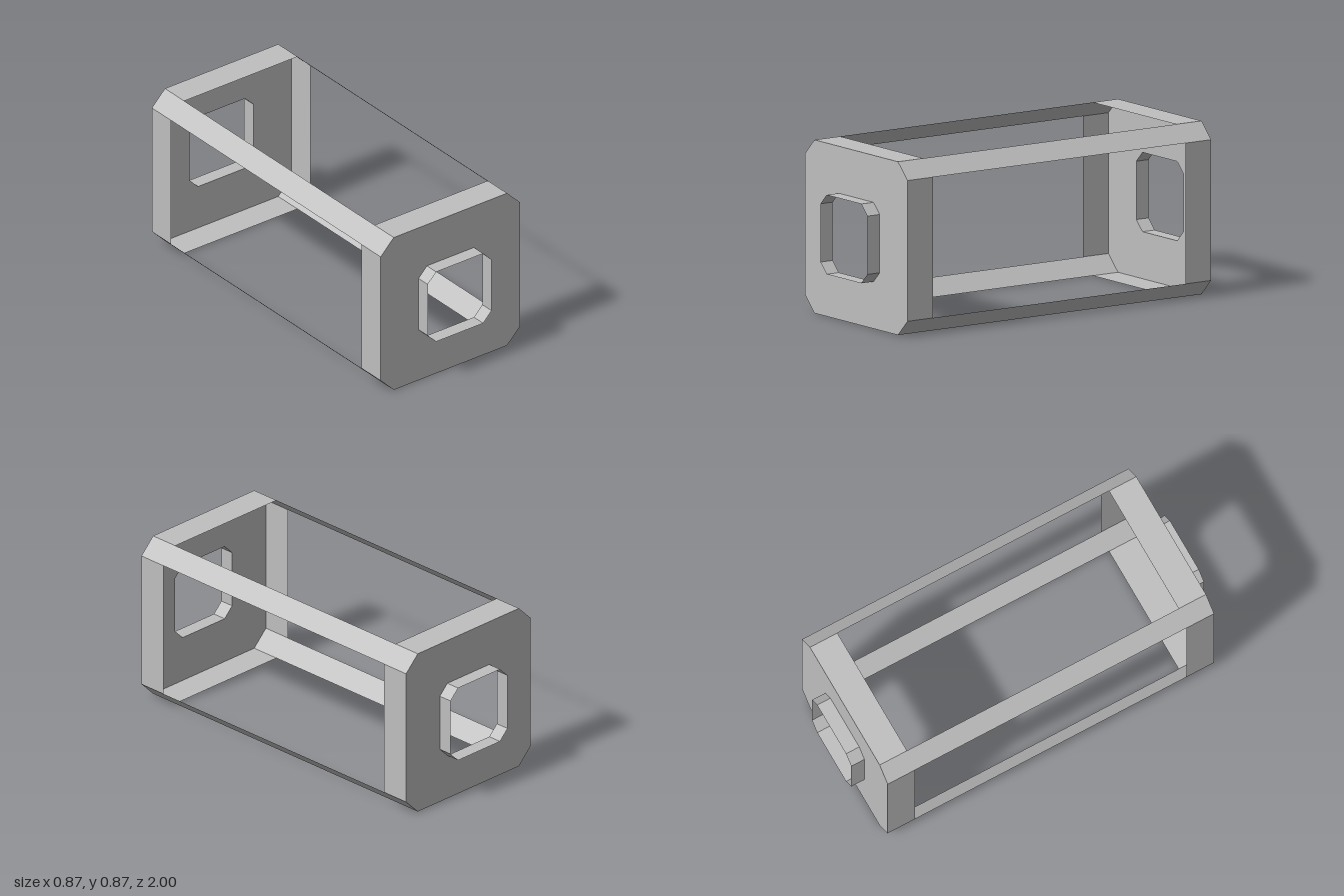
import * as THREE from 'three';

const CENTER_Y = 0.437;   // height of the frame axis
const PLATE_Z = 0.925;    // end plates
const FLANGE_Z = 0.77;    // inner rim of the end flanges
const COLLAR_Z = 1.0;     // outer rim of the port collars

// Chamfered square, counter-clockwise; even edges are flats, odd edges are chamfers
function octagon(h, c) {
  return [[h, -c], [h, c], [c, h], [-c, h], [-h, c], [-h, -c], [-c, -h], [c, -h]]
    .map(([x, y]) => new THREE.Vector2(x, y + CENTER_Y));
}

// Sheet walls along the chosen octagon edges between two depths
function walls(points, z0, z1, keepEdge) {
  const positions = [];
  points.forEach((a, i) => {
    if (!keepEdge(i)) return;
    const b = points[(i + 1) % points.length];
    positions.push(
      a.x, a.y, z0, b.x, b.y, z0, b.x, b.y, z1,
      a.x, a.y, z0, b.x, b.y, z1, a.x, a.y, z1);
  });
  const geometry = new THREE.BufferGeometry();
  geometry.setAttribute('position', new THREE.Float32BufferAttribute(positions, 3));
  geometry.computeVertexNormals();
  return geometry;
}

export function createModel() {
  const group = new THREE.Group();
  group.name = 'openFrame';
  const sheet = new THREE.MeshStandardMaterial({ color: 0xbfbfbf, side: THREE.DoubleSide });
  sheet.name = 'grey sheet';

  const add = (name, geometry) => {
    const mesh = new THREE.Mesh(geometry, sheet);
    mesh.name = name;
    group.add(mesh);
    return mesh;
  };

  const outer = octagon(0.437, 0.355);
  const port = octagon(0.2, 0.147);

  // End plate with a chamfered port
  const plateShape = new THREE.Shape(outer);
  plateShape.holes.push(new THREE.Path(port));
  const plate = new THREE.ShapeGeometry(plateShape);

  for (const [end, s] of [['front', 1], ['back', -1]]) {
    const span = (a, b) => [Math.min(s * a, s * b), Math.max(s * a, s * b)];

    const endPlate = add(end + 'Plate', plate);
    endPlate.position.z = s * PLATE_Z;
    if (s < 0) endPlate.rotation.y = Math.PI;

    // Flanges folded inward from the four flat sides
    add(end + 'Flanges', walls(outer, ...span(FLANGE_Z, PLATE_Z), i => i % 2 === 0));

    // Collar standing out around the port
    add(end + 'Collar', walls(port, ...span(PLATE_Z, COLLAR_Z), () => true));
  }

  // Corner rails joining the two ends along the chamfers
  ['topLeft', 'topRight', 'bottomRight', 'bottomLeft'].forEach((corner, k) => {
    add(corner + 'Rail', walls(outer, -PLATE_Z, PLATE_Z, i => i === 2 * k + 1));
  });

  return group;
}
